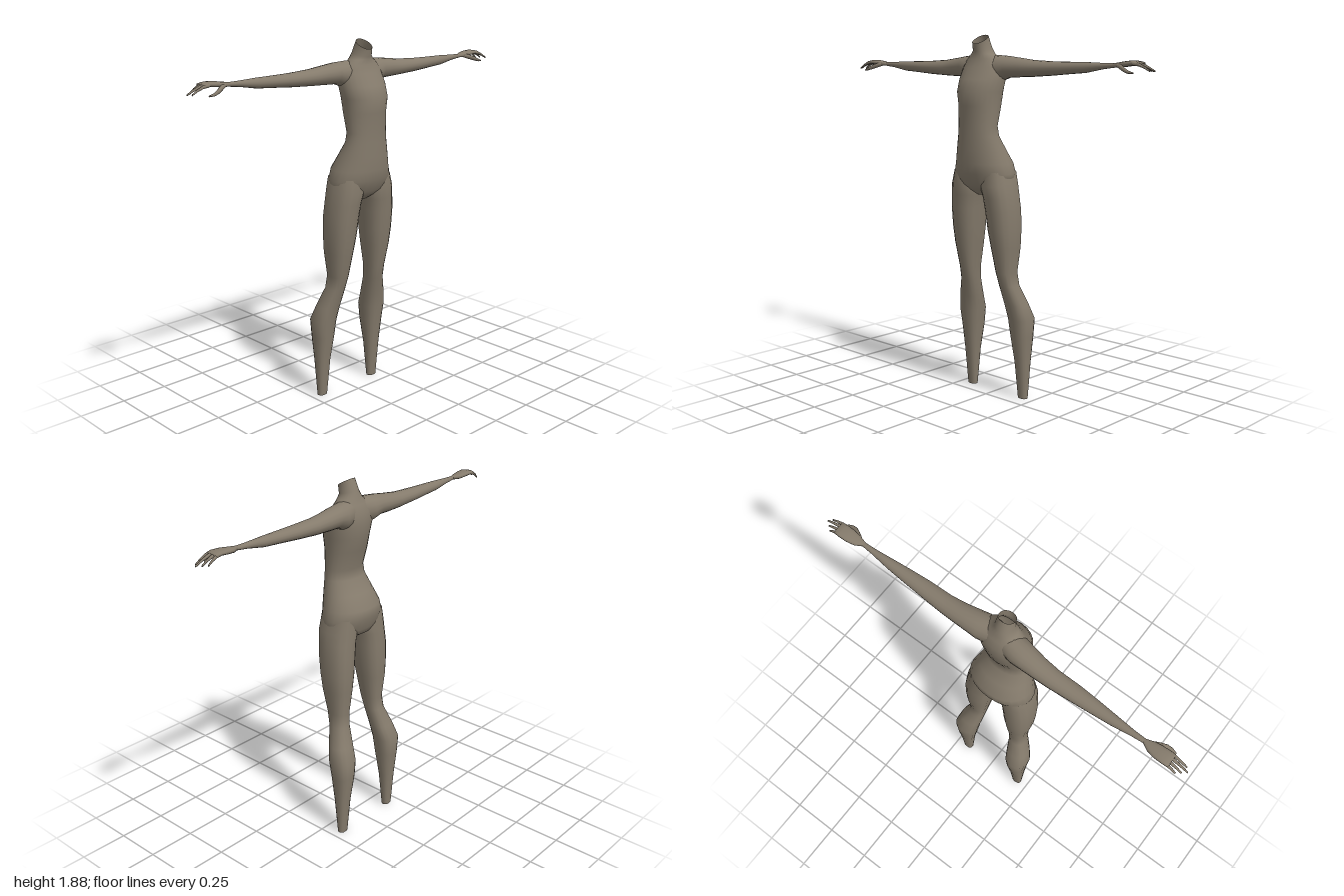
import * as THREE from 'three';

const skin = new THREE.MeshStandardMaterial({ color: 0x857b6c, side: THREE.DoubleSide });
skin.name = 'warm grey skin';

// Lofts oval rings along an axis. A section is [t, aMin, aMax, bMin, bMax, slope];
// axis 'y': a = x, b = z; axis 'x': a = y, b = z. 'power' above 2 squares the ovals.
function loft(axis, sections, { sides = 18, power = 2, capEnd = false } = {}) {
  const pos = [], index = [];
  const bend = v => Math.sign(v) * Math.abs(v) ** (2 / power);
  const put = (t, a, b) => (axis === 'y' ? pos.push(a, t, b) : pos.push(t, a, b));
  const tri = (a, b, c) => (axis === 'y' ? index.push(a, b, c) : index.push(a, c, b));
  for (const [t, a0, a1, b0, b1, slope = 0] of sections) {
    for (let i = 0; i < sides; i++) {
      const angle = (i / sides) * Math.PI * 2;
      const db = bend(Math.sin(angle)) * (b1 - b0) / 2;
      put(t + slope * db, (a0 + a1) / 2 + bend(Math.cos(angle)) * (a1 - a0) / 2, (b0 + b1) / 2 + db);
    }
  }
  for (let j = 0; j < sections.length - 1; j++) {
    for (let i = 0; i < sides; i++) {
      const p = j * sides + i, q = j * sides + (i + 1) % sides;
      tri(p, p + sides, q);
      tri(q, p + sides, q + sides);
    }
  }
  if (capEnd) {
    const [t, a0, a1, b0, b1] = sections[sections.length - 1];
    const base = (sections.length - 1) * sides;
    put(t, (a0 + a1) / 2, (b0 + b1) / 2);
    for (let i = 0; i < sides; i++) tri(base + i, base + sides, base + (i + 1) % sides);
  }
  const geo = new THREE.BufferGeometry();
  geo.setAttribute('position', new THREE.Float32BufferAttribute(pos, 3));
  geo.setIndex(index);
  geo.computeVertexNormals();
  return geo;
}

// Mirror image across x = 0 with the winding put right
function mirrored(geo) {
  const copy = geo.clone().scale(-1, 1, 1);
  const ids = copy.index.array;
  for (let i = 0; i < ids.length; i += 3) [ids[i + 1], ids[i + 2]] = [ids[i + 2], ids[i + 1]];
  copy.computeVertexNormals();
  return copy;
}

export function createModel() {
  const model = new THREE.Group();
  model.name = 'headlessFigure';
  const add = (name, geo) => {
    const mesh = new THREE.Mesh(geo, skin);
    mesh.name = name;
    model.add(mesh);
  };
  const addPair = (name, geo) => {
    add(name + 'Left', geo);
    add(name + 'Right', mirrored(geo));
  };

  // Torso from crotch to the open, slanting neck: [y, half width, back z, front z, slope]
  const torso = [
    [1.075, 0.04, -0.04, 0.04], [1.1, 0.1, -0.08, 0.075], [1.13, 0.17, -0.095, 0.105],
    [1.19, 0.178, -0.115, 0.127], [1.24, 0.162, -0.115, 0.134], [1.31, 0.14, -0.07, 0.135],
    [1.38, 0.118, -0.027, 0.135], [1.43, 0.112, -0.02, 0.135], [1.53, 0.115, -0.052, 0.14],
    [1.6, 0.12, -0.067, 0.15], [1.66, 0.128, -0.075, 0.125], [1.72, 0.122, -0.07, 0.092],
    [1.76, 0.1, -0.05, 0.075], [1.785, 0.065, -0.037, 0.072], [1.81, 0.045, -0.026, 0.074, -0.25],
    [1.858, 0.04, 0, 0.08, -0.56],
  ].map(([y, w, back, front, slope]) => [y, -w, w, back, front, slope]);
  add('torsoAndNeck', loft('y', torso, { sides: 24, power: 2.1 }));

  // Legs, open at the ankle: [y, inner x, outer x, back z, front z]
  addPair('leg', loft('y', [
    [0, 0.155, 0.21, -0.11, -0.07], [0.2, 0.14, 0.221, -0.128, -0.05],
    [0.34, 0.12, 0.231, -0.146, -0.03], [0.43, 0.11, 0.24, -0.15, -0.018],
    [0.51, 0.1, 0.222, -0.118, -0.004], [0.61, 0.09, 0.184, -0.082, 0.021],
    [0.68, 0.082, 0.177, -0.076, 0.04], [0.81, 0.063, 0.195, -0.09, 0.066],
    [0.9, 0.05, 0.2, -0.095, 0.081], [1.0, 0.04, 0.2, -0.095, 0.092],
    [1.07, 0.03, 0.192, -0.092, 0.099], [1.13, 0.015, 0.184, -0.092, 0.107],
    [1.2, 0.03, 0.166, -0.09, 0.1],
  ], { sides: 16, power: 2.4 }));

  // Arms from inside the chest to the wrist: [x, bottom y, top y, back z, front z]
  addPair('arm', loft('x', [
    [0.04, 1.64, 1.782, -0.06, 0.06], [0.1, 1.65, 1.779, -0.073, 0.058],
    [0.15, 1.67, 1.775, -0.075, 0.045], [0.22, 1.672, 1.766, -0.073, 0.032],
    [0.3, 1.675, 1.756, -0.07, 0.024], [0.42, 1.682, 1.75, -0.062, 0.022],
    [0.52, 1.69, 1.748, -0.055, 0.014], [0.62, 1.697, 1.747, -0.047, 0.004],
    [0.72, 1.715, 1.743, -0.036, -0.007], [0.79, 1.723, 1.742, -0.031, -0.01],
  ], { sides: 16 }));

  // Palm
  addPair('palm', loft('x', [
    [0.775, 1.723, 1.742, -0.031, -0.01], [0.81, 1.722, 1.747, -0.052, 0],
    [0.85, 1.727, 1.753, -0.062, 0.006], [0.89, 1.732, 1.755, -0.064, 0.006],
    [0.92, 1.732, 1.75, -0.062, 0.006],
  ], { sides: 14, power: 2.4, capEnd: true }));

  // Four fingers curling downwards
  [[-0.053, 0.96], [-0.036, 0.98], [-0.018, 1.0], [-0.001, 0.985]].forEach(([z, tip], i) => {
    const finger = [0, 0.35, 0.7, 1].map(f => {
      const y = 1.742 - 0.034 * f ** 1.7, r = 0.0095 - 0.0055 * f;
      return [0.895 + (tip - 0.895) * f, y - r, y + r, z - r, z + r];
    });
    addPair('finger' + (i + 1), loft('x', finger, { sides: 8, capEnd: true }));
  });

  // Thumb reaching forwards and down
  addPair('thumb', loft('x', [
    [0.805, 1.723, 1.742, -0.02, 0], [0.835, 1.712, 1.737, -0.008, 0.018],
    [0.865, 1.702, 1.724, 0.012, 0.033], [0.89, 1.696, 1.711, 0.02, 0.036],
    [0.915, 1.695, 1.702, 0.02, 0.028],
  ], { sides: 8, capEnd: true }));

  return model;
}
